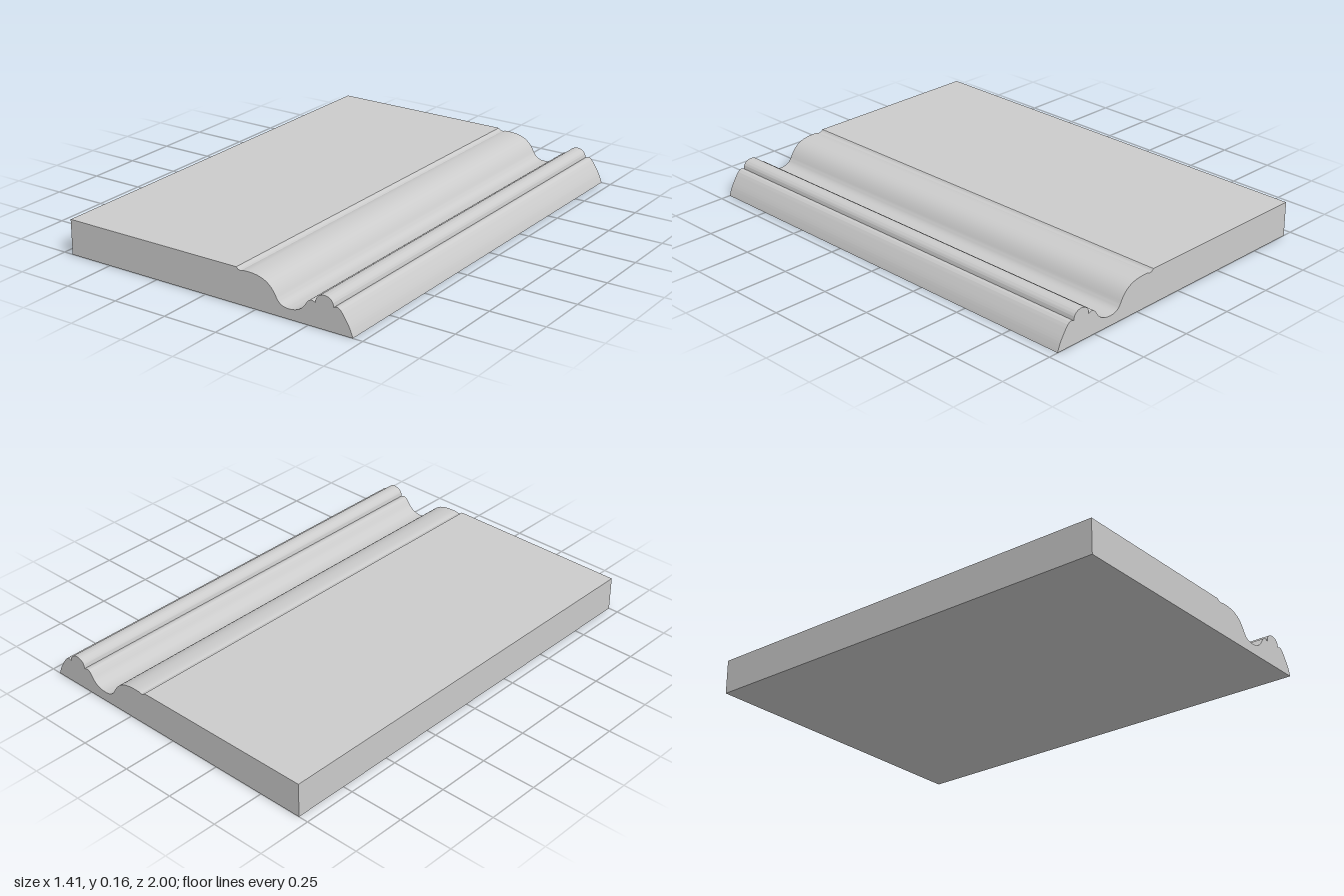
import * as THREE from 'three';
import { toCreasedNormals } from 'three/addons/utils/BufferGeometryUtils.js';

const LENGTH = 2;

export function createModel() {
  const group = new THREE.Group();
  group.name = 'mouldedBoard';

  const profile = new THREE.Shape();
  const curve = (...pts) => profile.splineThru(pts.map(([x, y]) => new THREE.Vector2(x, y)));

  // flat board
  profile.moveTo(0.705, 0);
  profile.lineTo(-0.705, 0);
  profile.lineTo(-0.705, 0.157);
  profile.lineTo(0.158, 0.157);
  // small quirk beside the flat
  curve([0.167, 0.149], [0.18, 0.146]);
  profile.lineTo(0.192, 0.15);
  // ogee: rounded shoulder running into the hollow
  profile.bezierCurveTo(0.27, 0.154, 0.315, 0.138, 0.345, 0.085);
  profile.bezierCurveTo(0.36, 0.055, 0.375, 0.044, 0.41, 0.044);
  profile.bezierCurveTo(0.45, 0.045, 0.472, 0.06, 0.488, 0.086);
  // inner small bead
  curve([0.5, 0.101], [0.515, 0.108], [0.534, 0.103]);
  // central large bead
  curve([0.538, 0.122], [0.553, 0.137], [0.577, 0.143], [0.6, 0.137], [0.614, 0.122], [0.618, 0.104]);
  // outer small bead and sloping edge
  curve([0.634, 0.109], [0.65, 0.1], [0.67, 0.073], [0.69, 0.04], [0.704, 0.006]);
  profile.closePath();

  const geometry = new THREE.ExtrudeGeometry(profile, {
    depth: LENGTH, bevelEnabled: false, curveSegments: 10,
  });
  geometry.translate(0, 0, -LENGTH / 2);

  const board = new THREE.Mesh(
    toCreasedNormals(geometry, 0.5),
    new THREE.MeshStandardMaterial({ color: 0xcccccc }),
  );
  board.name = 'mouldingBoard';
  group.add(board);
  return group;
}
